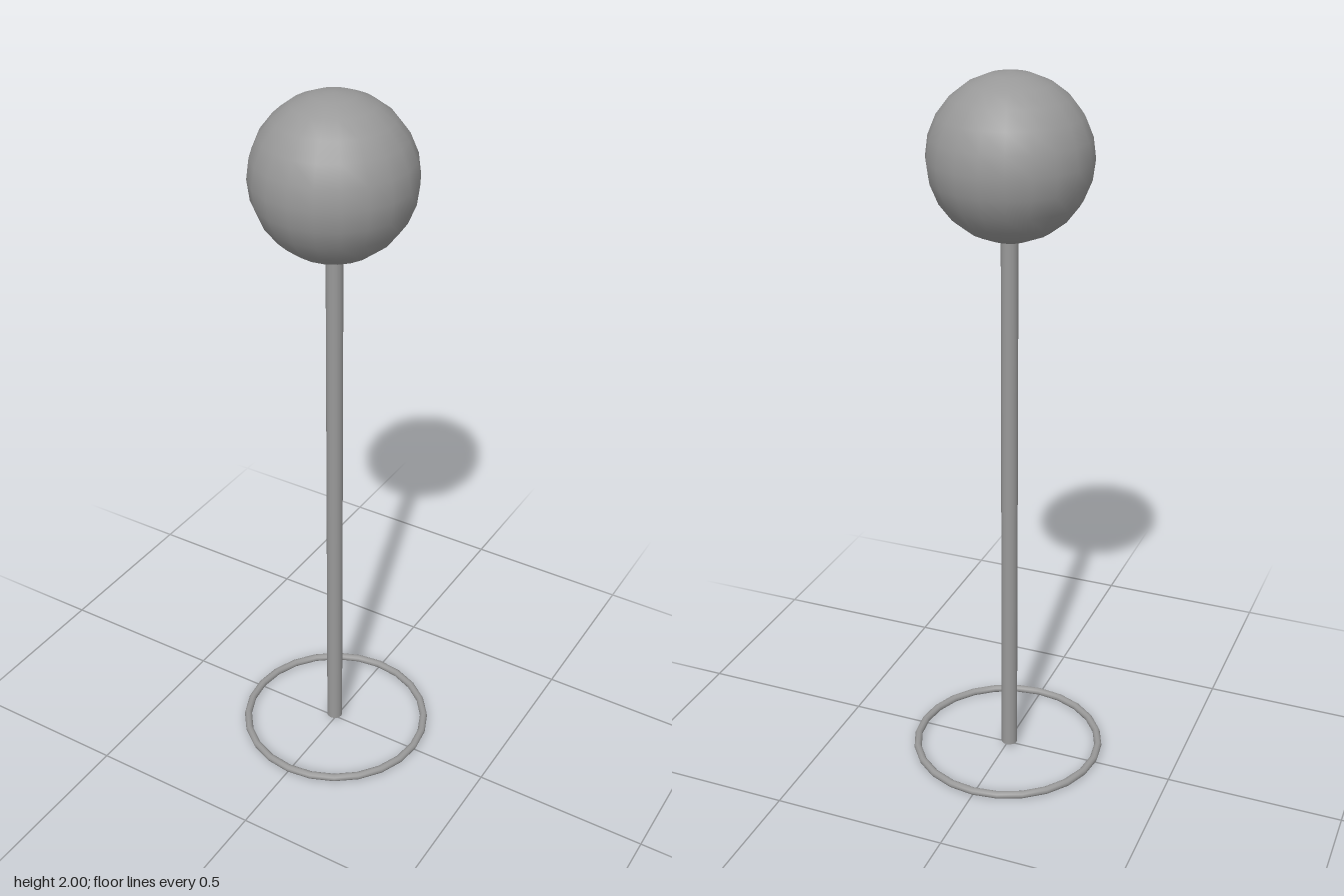
import * as THREE from 'three';

export function createModel() {
  const group = new THREE.Group();
  const material = new THREE.MeshStandardMaterial({ color: 0x999999 });

  const add = (name, geometry, x, y, z) => {
    const mesh = new THREE.Mesh(geometry, material);
    mesh.name = name;
    mesh.position.set(x, y, z);
    group.add(mesh);
    return mesh;
  };

  // Thin ring lying on the ground
  const ring = add('baseRing', new THREE.TorusGeometry(0.27, 0.011, 10, 24), 0, 0.011, 0);
  ring.rotation.x = -Math.PI / 2;

  // Slender upright pole, its top tucked into the ball
  const bottom = 0.01, top = 1.6;
  add('pole', new THREE.CylinderGeometry(0.023, 0.023, top - bottom, 16), -0.006, (top + bottom) / 2, -0.003);

  // Ball on top, slightly off the ring's centre
  const radius = 0.216;
  add('ball', new THREE.SphereGeometry(radius, 20, 12), -0.008, 2 - radius, -0.004);

  return group;
}
